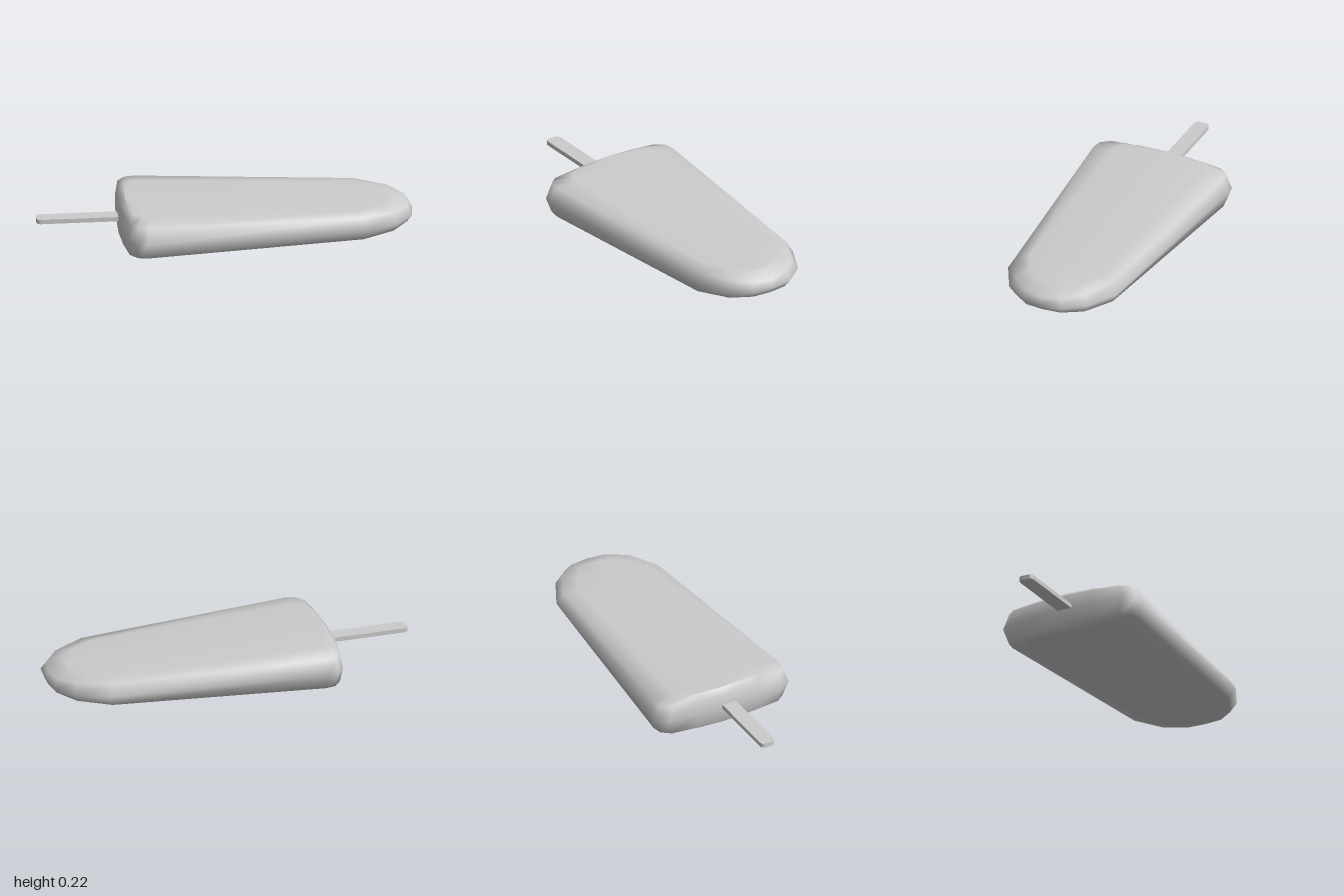
import * as THREE from 'three';
import { mergeVertices } from 'three/addons/utils/BufferGeometryUtils.js';

const MID_Y = 0.109;

// Half outlines [x, z] running from the stick end to the rounded tip
const equator = [[-0.57, 0], [-0.563, 0.18], [-0.545, 0.34], [-0.505, 0.4], [-0.45, 0.41],
  [0.73, 0.318], [0.9, 0.23], [0.985, 0.12], [0.997, 0]];
const shoulder = [[-0.562, 0], [-0.555, 0.17], [-0.535, 0.32], [-0.495, 0.37], [-0.44, 0.38],
  [0.71, 0.285], [0.88, 0.2], [0.96, 0.1], [0.978, 0]];
const rim = [[-0.53, 0], [-0.525, 0.15], [-0.505, 0.23], [-0.46, 0.26], [-0.42, 0.265],
  [0.68, 0.215], [0.8, 0.16], [0.88, 0.09], [0.9, 0]];
const shoulderRise = [0.75, 0.75, 0.77, 0.78, 0.79, 0.8, 0.73, 0.6, 0.52];

// The body gets thinner towards the tip
const halfThickness = (x) => 0.109 - 0.027 * (x + 0.53);

function bodyGeometry() {
  const positions = [];
  const index = [];
  const n = 12;
  equator.forEach(([ex, ez], i) => {
    const [sx, sz] = shoulder[i];
    const [rx, rz] = rim[i];
    const sy = halfThickness(sx) * shoulderRise[i];
    const top = halfThickness(rx);
    const ry = top * (1 - 0.04 * (rz / 0.26) ** 2);
    // Closed cross-section: over the top, then back underneath
    const loop = [
      [ex, 0, ez], [sx, sy, sz], [rx, ry, rz], [rx, top, 0], [rx, ry, -rz], [sx, sy, -sz],
      [ex, 0, -ez], [sx, -sy, -sz], [rx, -ry, -rz], [rx, -top, 0], [rx, -ry, rz], [sx, -sy, sz],
    ];
    loop.forEach(([x, y, z]) => positions.push(x, y + MID_Y, z));
  });
  for (let i = 0; i < equator.length - 1; i++) {
    for (let k = 0; k < n; k++) {
      const a = i * n + k;
      const d = i * n + ((k + 1) % n);
      index.push(a, a + n, d + n, a, d + n, d);
    }
  }
  const geometry = new THREE.BufferGeometry();
  geometry.setAttribute('position', new THREE.Float32BufferAttribute(positions, 3));
  geometry.setIndex(index);
  const merged = mergeVertices(geometry, 1e-4);
  merged.computeVertexNormals();
  return merged;
}

// Flat stick with a rounded outer end
function stickGeometry() {
  const w = 0.041, r = 0.025, thickness = 0.024;
  const shape = new THREE.Shape();
  shape.moveTo(-0.48, -w);
  shape.lineTo(-0.48, w);
  shape.lineTo(-1 + r, w);
  shape.quadraticCurveTo(-1, w, -1, w - r);
  shape.lineTo(-1, -w + r);
  shape.quadraticCurveTo(-1, -w, -1 + r, -w);
  shape.closePath();
  const geometry = new THREE.ExtrudeGeometry(shape, { depth: thickness, bevelEnabled: false, curveSegments: 4 });
  geometry.rotateX(-Math.PI / 2);
  geometry.translate(0, MID_Y, 0.007);
  return geometry;
}

export function createModel() {
  const group = new THREE.Group();
  group.name = 'icePop';
  const material = new THREE.MeshStandardMaterial({ color: 0xcccccc });
  const addPart = (name, geometry) => {
    const mesh = new THREE.Mesh(geometry, material);
    mesh.name = name;
    group.add(mesh);
  };
  addPart('iceBody', bodyGeometry());
  addPart('stick', stickGeometry());
  return group;
}
